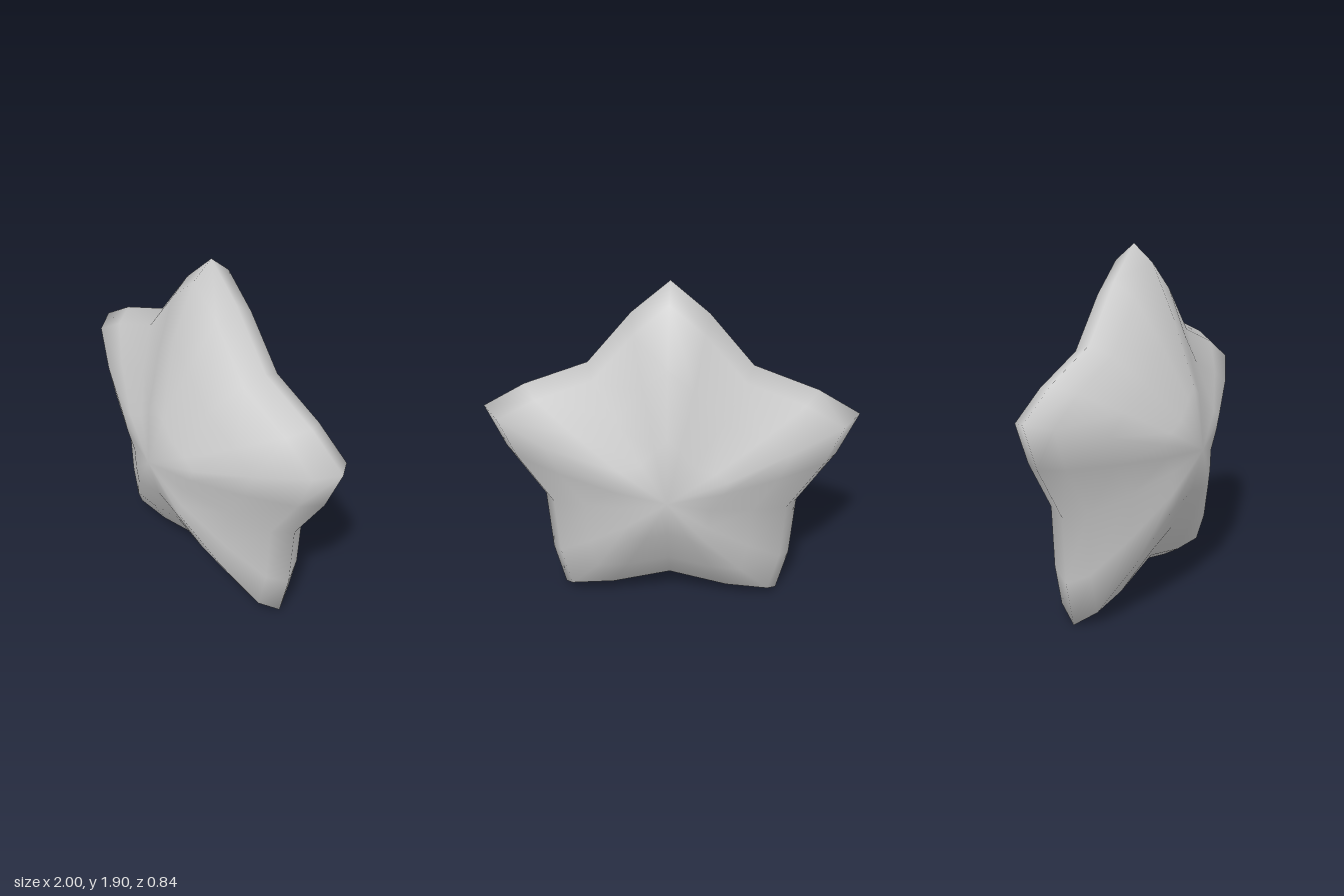
import * as THREE from 'three';

// Puffy five-pointed star: one outline, scaled into rings from the front apex to the back apex
function starGeometry() {
  const centreY = 0.85, depth = 0.42, arms = 5;
  // One arm's outline as [angle in degrees from its tip, radius]
  const armOutline = [[0, 1.05], [12.8, 0.9], [36, 0.735], [59.2, 0.9]];
  // [outline scale, z]
  const frontRings = [[0.315, 0.36], [0.64, 0.24], [0.912, 0.11]];
  const rings = [
    ...frontRings,
    [1, 0],
    ...frontRings.map(([s, z]) => [s, -z]).reverse(),
  ];

  const outline = [];
  for (let a = 0; a < arms; a++) {
    for (const [deg, r] of armOutline) {
      const t = Math.PI / 2 + THREE.MathUtils.degToRad(a * 72 + deg);
      outline.push([r * Math.cos(t), r * Math.sin(t)]);
    }
  }

  const n = outline.length;
  const positions = [], index = [];
  for (const [s, z] of rings) {
    for (const [x, y] of outline) positions.push(x * s, centreY + y * s, z);
  }
  const front = n * rings.length, back = front + 1;
  positions.push(0, centreY, depth, 0, centreY, -depth);

  const last = (rings.length - 1) * n;
  for (let i = 0; i < n; i++) {
    const j = (i + 1) % n;
    index.push(front, i, j);
    for (let k = 0; k < last; k += n) {
      index.push(k + i, k + n + i, k + n + j, k + i, k + n + j, k + j);
    }
    index.push(back, last + j, last + i);
  }

  const geometry = new THREE.BufferGeometry();
  geometry.setAttribute('position', new THREE.Float32BufferAttribute(positions, 3));
  geometry.setIndex(index);
  geometry.computeVertexNormals();
  return geometry;
}

export function createModel() {
  const group = new THREE.Group();
  group.name = 'puffyStar';
  const star = new THREE.Mesh(starGeometry(), new THREE.MeshStandardMaterial({ color: 0xcccccc }));
  star.name = 'starBody';
  group.add(star);
  return group;
}
